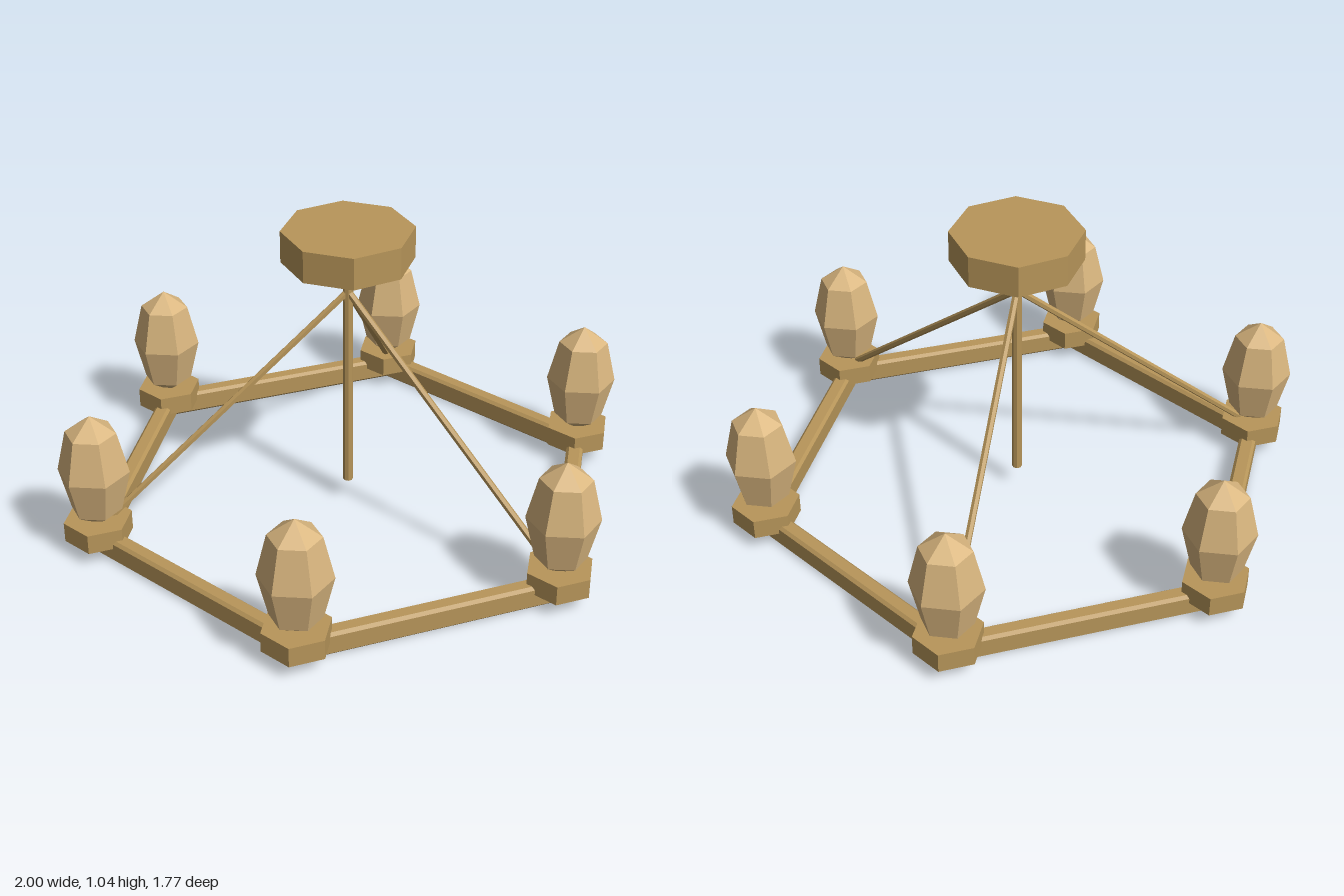
import * as THREE from 'three';

// Split shared vertices so every facet is shaded flat
function faceted(geometry) {
  const g = geometry.index ? geometry.toNonIndexed() : geometry;
  g.computeVertexNormals();
  return g;
}

export function createModel() {
  const metal = new THREE.MeshStandardMaterial({ color: 0xb8965a });
  metal.name = 'aged brass';
  const glass = new THREE.MeshStandardMaterial({ color: 0xd9b67f });
  glass.name = 'warm glass';

  const model = new THREE.Group();
  model.name = 'chandelier';

  function add(name, geometry, material, position, parent = model) {
    const mesh = new THREE.Mesh(faceted(geometry), material);
    mesh.name = name;
    if (position) mesh.position.copy(position);
    parent.add(mesh);
    return mesh;
  }

  const RING = 0.885;
  const node = (i, y) => {
    const a = (i * Math.PI) / 3;
    return new THREE.Vector3(RING * Math.cos(a), y, RING * Math.sin(a));
  };

  // Ceiling plate and central stem
  add('ceilingPlate', new THREE.CylinderGeometry(0.22, 0.22, 0.11, 8), metal, new THREE.Vector3(0, 0.985, 0));
  add('centralStem', new THREE.CylinderGeometry(0.017, 0.017, 0.845, 8), metal, new THREE.Vector3(0, 0.5025, 0));

  // Chamfered cross-section of the ring beams
  const w = 0.029, h = 0.0415, c = 0.01;
  const section = new THREE.Shape([
    [-w + c, -h], [w - c, -h], [w, -h + c], [w, h - c],
    [w - c, h], [-w + c, h], [-w, h - c], [-w, -h + c],
  ].map(([x, y]) => new THREE.Vector2(x, y)));

  for (let i = 0; i < 6; i++) {
    // Beam from this corner to the next
    const from = node(i, h), to = node(i + 1, h);
    const beam = add('ringBeam', new THREE.ExtrudeGeometry(section, {
      depth: from.distanceTo(to), bevelEnabled: false,
    }), metal, from);
    beam.lookAt(to);

    // Hexagonal cup with a faceted bulb
    const lamp = new THREE.Group();
    lamp.name = 'lamp';
    lamp.position.copy(node(i, 0));
    model.add(lamp);
    add('lampCup', new THREE.CylinderGeometry(0.115, 0.115, 0.07, 6).rotateY(Math.PI / 6),
      metal, new THREE.Vector3(0, 0.09, 0), lamp);
    add('bulb', new THREE.SphereGeometry(0.12, 6, 4).rotateY(-0.42).scale(1, 1.73, 1),
      glass, new THREE.Vector3(0, 0.31, 0), lamp);

    // Sloping strut to every second corner
    if (i % 2 === 0) {
      const top = new THREE.Vector3(0, 0.815, 0), foot = node(i, 0.08);
      const length = top.distanceTo(foot);
      const strut = add('strut', new THREE.CylinderGeometry(0.012, 0.012, length, 6).rotateX(Math.PI / 2),
        metal, top.clone().lerp(foot, 0.5));
      strut.lookAt(foot);
    }
  }

  return model;
}
